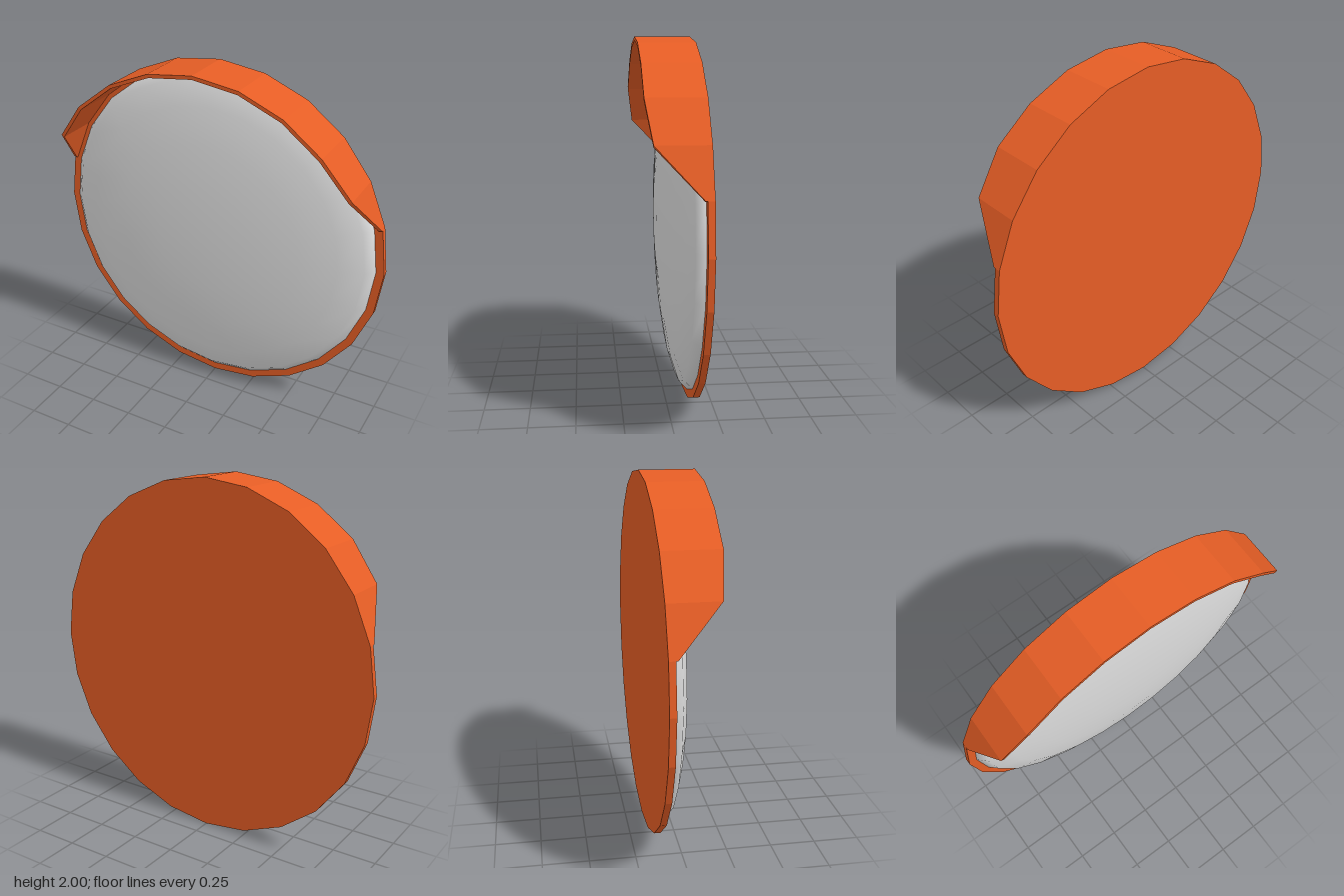
import * as THREE from 'three';

const SIDES = 24;
const BACK = -0.15;     // rear of the plate
const FACE = -0.115;    // front of the plate
const CENTRE_Y = 1;

// Visor swept around the upper rim; its front edge depth varies with angle
function visorGeometry(outer, inner) {
  const depths = [-0.105, 0.12, 0.152, 0.152, 0.152, 0.152, 0.152, 0.152, 0.152, 0.12, -0.105];
  const sections = depths.map((front, i) => {
    const a = ((i + 1) * Math.PI * 2) / SIDES;
    const at = (r, z) => [r * Math.cos(a), r * Math.sin(a), z];
    return [at(outer, FACE), at(outer, front), at(inner, front), at(inner, FACE)];
  });
  const pos = [];
  const quad = (a, b, c, d) => pos.push(...a, ...b, ...c, ...a, ...c, ...d);
  for (let i = 0; i < sections.length - 1; i++) {
    const s = sections[i], t = sections[i + 1];
    for (let k = 0; k < 3; k++) quad(s[k], t[k], t[k + 1], s[k + 1]);
  }
  // Small closing faces at both tips
  const first = sections[0], last = sections[sections.length - 1];
  quad(first[0], first[1], first[2], first[3]);
  quad(last[3], last[2], last[1], last[0]);
  const geo = new THREE.BufferGeometry();
  geo.setAttribute('position', new THREE.Float32BufferAttribute(pos, 3));
  geo.computeVertexNormals();
  return geo;
}

export function createModel() {
  const group = new THREE.Group();
  group.name = 'signalLamp';

  const orange = new THREE.MeshStandardMaterial({ color: 0xe55d25 });
  orange.name = 'orange housing';
  orange.flatShading = true;
  const grey = new THREE.MeshStandardMaterial({ color: 0xdcdcdc });
  grey.name = 'pale grey lens';

  const add = (name, geometry, material) => {
    const mesh = new THREE.Mesh(geometry, material);
    mesh.name = name;
    mesh.position.y = CENTRE_Y;
    group.add(mesh);
  };

  // Thin round plate carrying everything
  const plate = new THREE.CylinderGeometry(1, 1, FACE - BACK, SIDES);
  plate.rotateX(Math.PI / 2).translate(0, 0, (BACK + FACE) / 2);
  add('backPlate', plate, orange);

  // Hood over the upper part
  add('visor', visorGeometry(1, 0.98), orange);

  // Shallow smooth dome
  const lens = new THREE.SphereGeometry(0.955, SIDES, 5, 0, Math.PI * 2, 0, Math.PI / 2);
  lens.scale(1, 0.15 / 0.955, 1).rotateX(Math.PI / 2).translate(0, 0, FACE);
  add('lens', lens, grey);

  return group;
}
